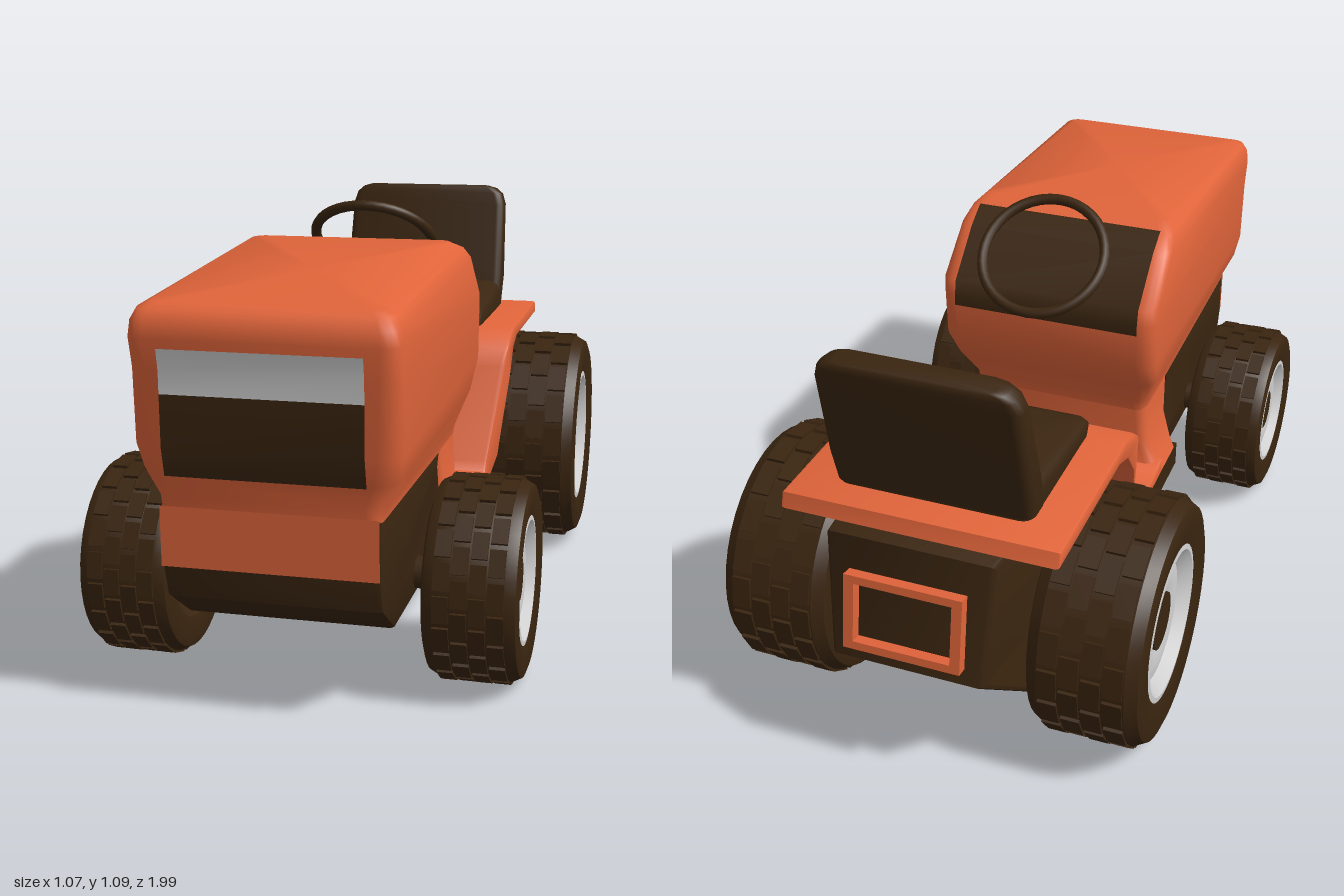
import * as THREE from 'three';
import { mergeGeometries, toCreasedNormals } from 'three/addons/utils/BufferGeometryUtils.js';

const orange = new THREE.MeshStandardMaterial({ color: 0xe0643a, side: THREE.DoubleSide });
orange.name = 'orange paint';
const dark = new THREE.MeshStandardMaterial({ color: 0x3a2510, side: THREE.DoubleSide });
dark.name = 'dark brown';
const grey = new THREE.MeshStandardMaterial({ color: 0xd0d0d0, side: THREE.DoubleSide });
grey.name = 'light grey';

function add(parent, name, geometry, material) {
  const mesh = new THREE.Mesh(geometry, material);
  mesh.name = name;
  parent.add(mesh);
  return mesh;
}

// Stack of rounded rectangles, bottom to top.
// Row: [front z, front y, back z, back y, half width, corner radius]
function loft(rows, crease = 0.7) {
  const pos = [], idx = [], seg = 4, n = 4 * (seg + 1);
  for (const [zf, yf, zb, yb, w, r] of rows) {
    const zc = (zf + zb) / 2, d = (zf - zb) / 2;
    for (let c = 0; c < 4; c++) {
      const sx = c === 0 || c === 3 ? 1 : -1, sz = c < 2 ? 1 : -1;
      for (let k = 0; k <= seg; k++) {
        const a = (c + k / seg) * Math.PI / 2;
        const z = zc + sz * (d - r) + r * Math.sin(a);
        pos.push(sx * (w - r) + r * Math.cos(a), yb + (yf - yb) * (z - zb) / (zf - zb), z);
      }
    }
  }
  const last = rows.length - 1;
  for (let i = 0; i < last; i++) {
    for (let j = 0; j < n; j++) {
      const a = i * n + j, b = i * n + (j + 1) % n;
      idx.push(a, a + n, b + n, a, b + n, b);
    }
  }
  // end caps
  for (const i of [0, last]) {
    const [zf, yf, zb, yb] = rows[i], centre = pos.length / 3;
    pos.push(0, (yf + yb) / 2, (zf + zb) / 2);
    for (let j = 0; j < n; j++) {
      const a = i * n + j, b = i * n + (j + 1) % n;
      if (i === 0) idx.push(centre, a, b); else idx.push(centre, b, a);
    }
  }
  const g = new THREE.BufferGeometry();
  g.setAttribute('position', new THREE.Float32BufferAttribute(pos, 3));
  g.setIndex(idx);
  return toCreasedNormals(g, crease);
}

// Side outline of [z, y] points extruded across x; widthRule scales x by z
function sideExtrude(points, width, bevel, widthRule = () => 1) {
  const shape = new THREE.Shape(points.map(p => new THREE.Vector2(...p)));
  const g = new THREE.ExtrudeGeometry(shape, {
    depth: width - 2 * bevel, bevelEnabled: bevel > 0, bevelThickness: bevel,
    bevelSize: bevel, bevelOffset: -bevel, bevelSegments: 2,
  });
  g.translate(0, 0, -width / 2 + bevel).rotateY(-Math.PI / 2);
  const p = g.attributes.position;
  for (let i = 0; i < p.count; i++) p.setX(i, p.getX(i) * widthRule(p.getZ(i)));
  return toCreasedNormals(g, 0.6);
}

// Thin painted panel following [z, y] points
function panel(points, halfWidth) {
  const pos = [], idx = [];
  points.forEach(([z, y], i) => {
    pos.push(-halfWidth, y, z, halfWidth, y, z);
    if (i) idx.push(2 * i - 2, 2 * i, 2 * i + 1, 2 * i - 2, 2 * i + 1, 2 * i - 1);
  });
  const g = new THREE.BufferGeometry();
  g.setAttribute('position', new THREE.Float32BufferAttribute(pos, 3));
  g.setIndex(idx);
  g.computeVertexNormals();
  return g;
}

// Wheel with its outer face toward local +y
function makeWheel(R, w) {
  const wheel = new THREE.Group();
  const rim = R * 0.63, base = R - 0.006;
  const lathe = pts => toCreasedNormals(new THREE.LatheGeometry(
    pts.map(([r, y]) => new THREE.Vector2(r, y * w)), 40), 0.5);
  add(wheel, 'tyre', lathe([
    [0, -0.22], [rim * 0.6, -0.22], [rim * 0.85, -0.36], [rim, -0.46], [R * 0.85, -0.5], [R * 0.93, -0.47],
    [base, -0.37], [base, 0.37], [R * 0.93, 0.47], [R * 0.85, 0.5], [rim, 0.46]]), dark);
  add(wheel, 'rim', lathe([
    [rim, 0.46], [rim * 0.93, 0.465], [rim * 0.76, 0.36], [rim * 0.55, 0.39], [rim * 0.36, 0.36]]), grey);
  const hub = add(wheel, 'hub', new THREE.CylinderGeometry(rim * 0.37, rim * 0.37, 0.06, 20), dark);
  hub.position.y = 0.38 * w - 0.03;
  // staggered tread blocks
  const blocks = [], count = 20;
  for (let row = 0; row < 4; row++) {
    for (let i = 0; i < count; i++) {
      const b = new THREE.BoxGeometry(0.016, w * 0.165, 2 * Math.PI * R / count * 0.82);
      b.translate(R - 0.009, (row - 1.5) * w * 0.185, 0);
      b.rotateY((i + (row % 2) / 2) / count * Math.PI * 2);
      blocks.push(b);
    }
  }
  add(wheel, 'tread', mergeGeometries(blocks), dark);
  return wheel;
}

export function createModel() {
  const model = new THREE.Group();
  model.name = 'garden tractor';

  // Dark chassis, tapering at the rear
  add(model, 'chassis', sideExtrude([
    [0.93, 0.485], [0.935, 0.35], [0.91, 0.27], [0.79, 0.19], [-0.8, 0.19], [-0.97, 0.33], [-0.92, 0.645],
    [-0.42, 0.645], [-0.32, 0.56], [-0.2, 0.265], [0.24, 0.265], [0.3, 0.44], [0.28, 0.485],
  ], 0.5, 0.012, z => z < -0.78 ? 1 - 0.25 * (-0.78 - z) / 0.19 : 1), dark);
  add(model, 'runningBoard', new THREE.BoxGeometry(0.6, 0.07, 0.46), dark).position.set(0, 0.232, 0.02);

  // Hood
  add(model, 'hood', loft([
    [0.942, 0.48, 0.07, 0.47, 0.25, 0.03],
    [0.945, 0.51, 0.065, 0.5, 0.256, 0.04],
    [0.96, 0.57, 0.0, 0.59, 0.288, 0.05],
    [0.975, 0.63, -0.045, 0.67, 0.3, 0.05],
    [0.98, 0.8, -0.048, 0.8, 0.3, 0.045],
    [0.995, 0.87, -0.04, 0.84, 0.3, 0.04],
    [0.991, 0.905, 0.08, 0.95, 0.296, 0.04],
    [0.975, 0.93, 0.13, 0.98, 0.284, 0.035],
    [0.945, 0.942, 0.19, 1.0, 0.26, 0.03],
  ], 0.8), orange);
  add(model, 'cowl', loft([
    [0.24, 0.265, 0.05, 0.265, 0.3, 0.02],
    [0.25, 0.3, 0.07, 0.3, 0.285, 0.03],
    [0.27, 0.37, 0.075, 0.37, 0.258, 0.03],
    [0.3, 0.49, 0.07, 0.49, 0.25, 0.03],
  ]), orange);
  add(model, 'frontApron', panel([[0.941, 0.35], [0.944, 0.49]], 0.248), orange);
  add(model, 'grille', panel([[0.966, 0.565], [0.982, 0.63], [0.985, 0.75]], 0.225), dark);
  add(model, 'headlight', panel([[0.985, 0.75], [0.986, 0.8], [0.996, 0.85]], 0.225), grey);
  add(model, 'dashboard', panel(
    [[0.14, 0.99], [0.128, 0.985], [0.077, 0.955], [-0.044, 0.845], [-0.053, 0.8], [-0.053, 0.775]], 0.255), dark);

  // Footwell and rear fenders in one band, flaring over the wheels
  add(model, 'footwellAndFenders', sideExtrude([
    [0.1, 0.305], [0.05, 0.295], [-0.03, 0.288], [-0.16, 0.302], [-0.18, 0.33], [-0.265, 0.59], [-0.29, 0.635],
    [-0.33, 0.665], [-0.4, 0.682], [-0.87, 0.685], [-0.882, 0.648], [-0.45, 0.645], [-0.38, 0.62],
    [-0.325, 0.55], [-0.25, 0.33], [-0.2, 0.26], [0.1, 0.26],
  ], 0.6, 0.008, z => 1 + 0.14 * THREE.MathUtils.smoothstep(-z, 0.18, 0.31)), orange);

  // Seat
  const seat = new THREE.Group();
  seat.name = 'seat';
  model.add(seat);
  add(seat, 'seatCushion', loft([
    [-0.38, 0.67, -0.79, 0.67, 0.24, 0.03],
    [-0.378, 0.71, -0.79, 0.745, 0.245, 0.03],
    [-0.385, 0.722, -0.79, 0.765, 0.238, 0.03],
    [-0.41, 0.732, -0.78, 0.775, 0.215, 0.03],
  ], 1), dark);
  add(seat, 'seatBack', loft([
    [-0.7, 0.69, -0.79, 0.69, 0.245, 0.025],
    [-0.725, 0.78, -0.81, 0.78, 0.25, 0.025],
    [-0.787, 1.0, -0.855, 1.0, 0.245, 0.025],
    [-0.796, 1.035, -0.861, 1.03, 0.235, 0.025],
    [-0.801, 1.053, -0.863, 1.046, 0.215, 0.025],
    [-0.806, 1.06, -0.86, 1.052, 0.19, 0.02],
  ], 1), dark);

  // Steering wheel
  const steering = add(model, 'steeringWheel', new THREE.TorusGeometry(0.162, 0.014, 10, 40), dark);
  steering.position.set(0, 0.968, -0.058);
  steering.rotation.x = 0.88;

  // Rear hitch frame
  const frame = new THREE.Shape([[-0.145, -0.095], [0.145, -0.095], [0.145, 0.095], [-0.145, 0.095]]
    .map(p => new THREE.Vector2(...p)));
  frame.holes.push(new THREE.Path([[-0.12, -0.075], [-0.12, 0.075], [0.12, 0.075], [0.12, -0.075]]
    .map(p => new THREE.Vector2(...p))));
  const hitch = add(model, 'hitchFrame',
    new THREE.ExtrudeGeometry(frame, { depth: 0.03, bevelEnabled: false }), orange);
  hitch.position.set(0, 0.475, -0.981);
  hitch.rotation.x = 0.17;

  // Wheels and axles: [name, radius, width, centre x, z]
  for (const [name, R, w, x, z] of [['front', 0.245, 0.225, 0.413, 0.555], ['rear', 0.31, 0.285, 0.393, -0.59]]) {
    const y = name === 'front' ? R : R + 0.01;
    for (const side of [1, -1]) {
      const wheel = makeWheel(R, w);
      wheel.name = name + (side > 0 ? 'LeftWheel' : 'RightWheel');
      wheel.position.set(side * x, y, z);
      wheel.rotation.z = -side * Math.PI / 2;
      model.add(wheel);
    }
    const axle = add(model, name + 'Axle', new THREE.CylinderGeometry(0.04, 0.04, 0.74, 12), dark);
    axle.position.set(0, y, z);
    axle.rotation.z = Math.PI / 2;
  }
  return model;
}
